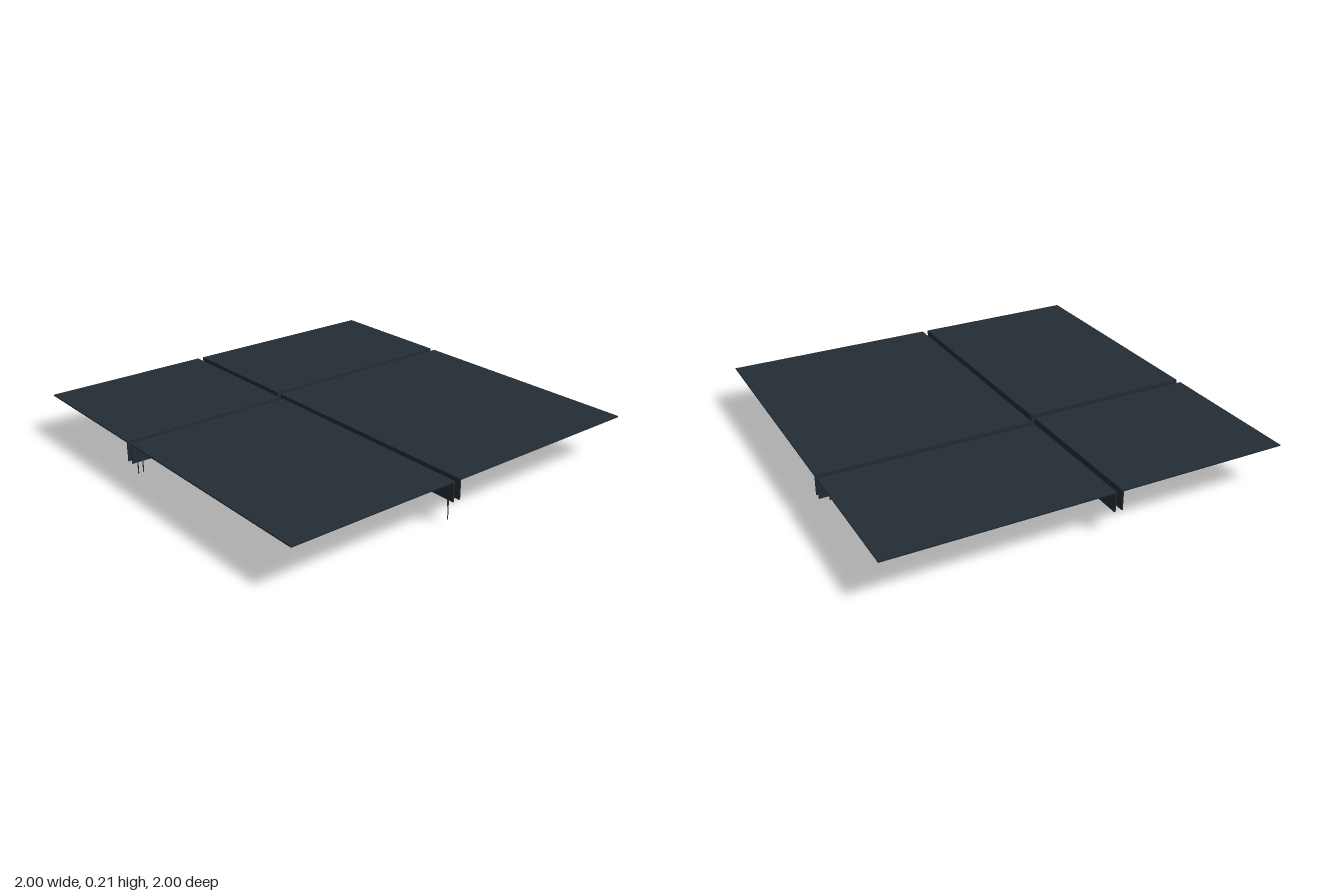
import * as THREE from 'three';

const TOP = 0.21, BOTTOM = 0.11, THICK = 0.006;
const GAP_X = [-0.127, -0.096];          // edges of the gap running front to back
const GAP_Z_RIGHT = [-0.24, -0.21];      // cross gap on the -x half
const GAP_Z_LEFT = [-0.30, -0.27];       // cross gap on the +x half

export function createModel() {
  const model = new THREE.Group();
  const material = new THREE.MeshStandardMaterial({ color: 0x232d34 });
  const strandMaterial = new THREE.MeshStandardMaterial({ color: 0x232d34, side: THREE.DoubleSide });

  // Box given by its limits
  function box(name, parent, x0, x1, y0, y1, z0, z1) {
    const mesh = new THREE.Mesh(new THREE.BoxGeometry(x1 - x0, y1 - y0, z1 - z0), material);
    mesh.position.set((x0 + x1) / 2, (y0 + y1) / 2, (z0 + z1) / 2);
    mesh.name = name;
    parent.add(mesh);
  }

  // Thin plate with a hanging wall along each of its two inner edges
  function tile(name, sx, sz, innerX, innerZ) {
    const group = new THREE.Group();
    group.name = name;
    const span = (a, b) => [Math.min(a, b), Math.max(a, b)];
    const xs = span(sx, innerX), zs = span(sz, innerZ);
    box('plate', group, ...xs, TOP - THICK, TOP, ...zs);
    box('sideWall', group, ...span(innerX, innerX + sx * THICK), BOTTOM, TOP - THICK, ...zs);
    box('crossWall', group, ...xs, BOTTOM, TOP - THICK, ...span(innerZ, innerZ + sz * THICK));
    model.add(group);
  }
  tile('backRightTile', -1, -1, GAP_X[0], GAP_Z_RIGHT[0]);
  tile('frontRightTile', -1, 1, GAP_X[0], GAP_Z_RIGHT[1]);
  tile('backLeftTile', 1, -1, GAP_X[1], GAP_Z_LEFT[0]);
  tile('frontLeftTile', 1, 1, GAP_X[1], GAP_Z_LEFT[1]);

  // Flat strands hanging from the walls
  const strands = new THREE.Group();
  strands.name = 'hangingStrands';
  model.add(strands);
  function strand(x, tip, z) {
    const length = TOP - THICK - tip;
    const mesh = new THREE.Mesh(new THREE.PlaneGeometry(0.006, length), strandMaterial);
    mesh.position.set(x, tip + length / 2, z);
    mesh.name = 'strand';
    strands.add(mesh);
  }

  // Along the cross walls: x and height of the tip
  const crossStrands = [
    [-0.95, 0.03], [-0.943, 0.05], [-0.87, 0.085], [-0.815, 0.08], [-0.54, 0.085], [-0.495, 0.09],
    [-0.405, 0.055], [-0.325, 0.035], [-0.27, 0.05], [-0.065, 0.09], [0.04, 0.1], [0.175, 0],
    [0.42, 0.07], [0.49, 0.1], [0.54, 0.05], [0.585, 0.08], [0.615, 0.03], [0.71, 0.01], [0.95, 0.09],
  ];
  crossStrands.forEach(([x, tip], i) => {
    const gap = x < GAP_X[0] ? GAP_Z_RIGHT : GAP_Z_LEFT;
    strand(x, tip, i % 3 === 1 ? gap[1] - 0.002 : gap[0] - THICK - 0.002);
  });

  // Along the side walls: z and height of the tip
  [[0.97, 0.015], [0.55, 0.07], [-0.75, 0.06]].forEach(([z, tip]) => strand(GAP_X[0] - 0.003, tip, z));
  [[0.93, 0.05], [0.2, 0.08], [-0.6, 0.07]].forEach(([z, tip]) => strand(GAP_X[1] + 0.003, tip, z));

  return model;
}
